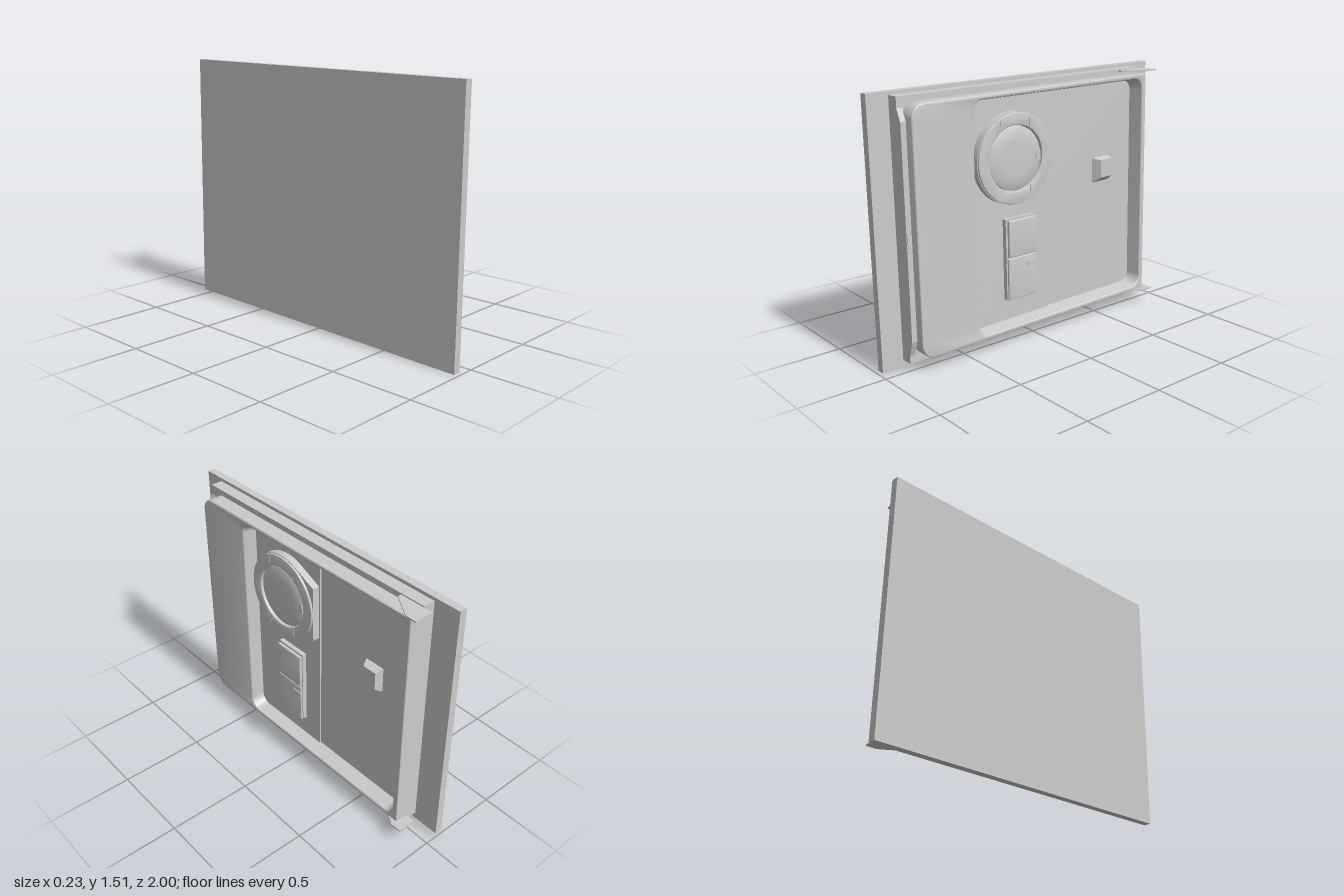
import * as THREE from 'three';
import { toCreasedNormals } from 'three/addons/utils/BufferGeometryUtils.js';

const grey = new THREE.MeshStandardMaterial({ color: 0xcccccc, side: THREE.DoubleSide });

// Rectangle outline with a radius for the left and right corners (u0 < u1, v0 < v1)
function rect(u0, u1, v0, v1, rl = 0, rr = rl, Type = THREE.Shape) {
  const s = new Type();
  const h = Math.PI / 2;
  const corner = (u, v, r, a) => (r ? s.absarc(u, v, r, a, a + h, false) : s.lineTo(u, v));
  s.moveTo(u0 + rl, v0);
  corner(u1 - rr, v0 + rr, rr, -h);
  corner(u1 - rr, v1 - rr, rr, 0);
  corner(u0 + rl, v1 - rl, rl, h);
  corner(u0 + rl, v0 + rl, rl, 2 * h);
  s.closePath();
  return s;
}

function circle(u, v, r, Type = THREE.Shape) {
  return new Type().absarc(u, v, r, 0, Math.PI * 2, false);
}

// Quad strip between two outlines with the same number of points
function loft(a, za, b, zb) {
  const pa = a.getPoints(10), pb = b.getPoints(10), pos = [], idx = [];
  pa.forEach((p, i) => {
    pos.push(p.x, p.y, za, pb[i].x, pb[i].y, zb);
    if (i) idx.push(2 * i - 2, 2 * i, 2 * i - 1, 2 * i, 2 * i + 1, 2 * i - 1);
  });
  const g = new THREE.BufferGeometry();
  g.setAttribute('position', new THREE.Float32BufferAttribute(pos, 3));
  g.setIndex(idx);
  return toCreasedNormals(g, 0.6);
}

export function createModel() {
  const model = new THREE.Group();
  model.name = 'applianceDoor';
  // Parts are drawn as seen from the inner side: u across, v up, depth outward
  const door = new THREE.Group();
  door.name = 'door';

  const add = (name, geometry) => {
    const m = new THREE.Mesh(geometry, grey);
    m.name = name;
    door.add(m);
    return m;
  };
  const extrude = (name, shape, d0, d1, bevel = 0) => {
    const g = new THREE.ExtrudeGeometry(shape, {
      depth: d1 - d0 - 2 * bevel, curveSegments: 24, bevelEnabled: bevel > 0,
      bevelThickness: bevel, bevelSize: bevel, bevelOffset: -bevel, bevelSegments: 3,
    });
    g.translate(0, 0, d0 + bevel);
    return add(name, toCreasedNormals(g, 0.6));
  };

  // Outer panel and the frame behind the liner
  extrude('outerPanel', rect(-0.988, 0.988, -0.742, 0.742), -0.116, -0.07);
  extrude('frame', rect(-0.86, 0.83, -0.702, 0.723), -0.07, 0);

  // Raised liner around the deep recess
  const liner = rect(-0.828, 0.83, -0.668, 0.69, 0.08, 0);
  liner.holes.push(rect(-0.458, 0.795, -0.643, 0.667, 0.065, 0.065, THREE.Path));
  extrude('liner', liner, -0.015, 0.086, 0.007);
  add('recessWall', loft(
    rect(-0.457, 0.794, -0.642, 0.666, 0.065), 0.078,
    rect(-0.44, 0.777, -0.625, 0.649, 0.055), 0));
  extrude('raisedFloor', rect(-0.445, 0.105, -0.628, 0.652, 0.055, 0), -0.005, 0.008);

  // Tapered end strip with its small catch
  const strip = new THREE.Shape([[0, -0.66], [0.03, -0.575], [0.03, 0.6], [0, 0.665]]
    .map(([x, y]) => new THREE.Vector2(x, y)));
  const stripGeo = new THREE.ExtrudeGeometry(strip, { depth: 0.032, bevelEnabled: false });
  stripGeo.rotateY(-Math.PI / 2); // depth axis of the profile becomes outward
  stripGeo.translate(-0.828, 0, 0);
  add('endStrip', stripGeo);
  extrude('catch', rect(-0.855, -0.838, -0.055, 0.018), 0.028, 0.034);

  // Hinge plates near the top and bottom
  const plate = new THREE.Shape([[0.68, 0], [0.885, 0], [0.885, 0.112], [0.82, 0.112], [0.68, 0.022]]
    .map(([x, y]) => new THREE.Vector2(x, y)));
  [['topHingePlate', 0.716], ['bottomHingePlate', -0.676]].forEach(([name, v]) => {
    const g = new THREE.ExtrudeGeometry(plate, { depth: 0.008, bevelEnabled: false });
    g.rotateX(Math.PI / 2);
    g.translate(0, v, 0);
    add(name, g);
  });

  // Round dispenser: housing with a flat-sided shoulder and a domed cap
  const cu = -0.16, cv = 0.316;
  const a = 1.15;
  const housing = new THREE.Shape();
  housing.absarc(cu, cv, 0.258, a, Math.PI * 2 - a, false);
  housing.lineTo(cu + 0.255, cv - 0.17);
  housing.lineTo(cu + 0.255, cv + 0.168);
  housing.closePath();
  housing.holes.push(circle(cu, cv, 0.185, THREE.Path));
  extrude('dispenserHousing', housing, 0, 0.05);
  const ring = circle(cu, cv, 0.254);
  ring.holes.push(circle(cu, cv, 0.185, THREE.Path));
  extrude('dispenserRing', ring, 0.045, 0.062, 0.004);
  const capGeo = new THREE.LatheGeometry(
    [[0.18, 0], [0.18, 0.048], [0.172, 0.053], [0.1, 0.057], [0, 0.059]]
      .map(([x, y]) => new THREE.Vector2(x, y)), 48);
  capGeo.rotateX(Math.PI / 2);
  capGeo.translate(cu, cv, 0);
  add('dispenserCap', toCreasedNormals(capGeo, 0.6));
  const grip = new THREE.Shape().absarc(cu + 0.172, cv, 0.03, Math.PI / 2, Math.PI * 1.5, false);
  extrude('capGrip', grip, 0.045, 0.06);
  for (const du of [-0.1, 0.1]) for (const s of [-1, 1]) {
    const v = cv + s * 0.188;
    extrude('ringRib', rect(cu + du - 0.003, cu + du + 0.003, v - 0.03, v + 0.03), 0.055, 0.064);
  }

  // Two-part compartment with lid, cover and latch
  extrude('compartmentBase', rect(-0.224, -0.018, -0.5, -0.025), 0, 0.035);
  extrude('compartmentLid', rect(-0.214, -0.02, -0.246, -0.033), 0.035, 0.055, 0.005);
  extrude('compartmentCover', rect(-0.218, -0.02, -0.497, -0.254), 0.035, 0.05, 0.004);
  extrude('latch', rect(-0.078, -0.022, -0.322, -0.294), 0.048, 0.056);

  // Vent hood with sloping sides
  const ventTop = rect(0.492, 0.582, 0.1, 0.205);
  add('ventSides', loft(ventTop, 0.05, rect(0.465, 0.59, 0.065, 0.215), 0));
  const face = new THREE.ShapeGeometry(ventTop);
  face.translate(0, 0, 0.05);
  add('ventFace', face);

  // Turn the drawing plane to face +x, with the door's slight lean
  door.rotation.z = 0.0155;
  const turn = new THREE.Group();
  turn.name = 'doorMount';
  turn.add(door);
  turn.rotation.y = Math.PI / 2;
  const lean = new THREE.Group();
  lean.name = 'doorLean';
  lean.add(turn);
  lean.rotation.z = 0.004;
  lean.position.y = 0.758;
  model.add(lean);
  return model;
}
